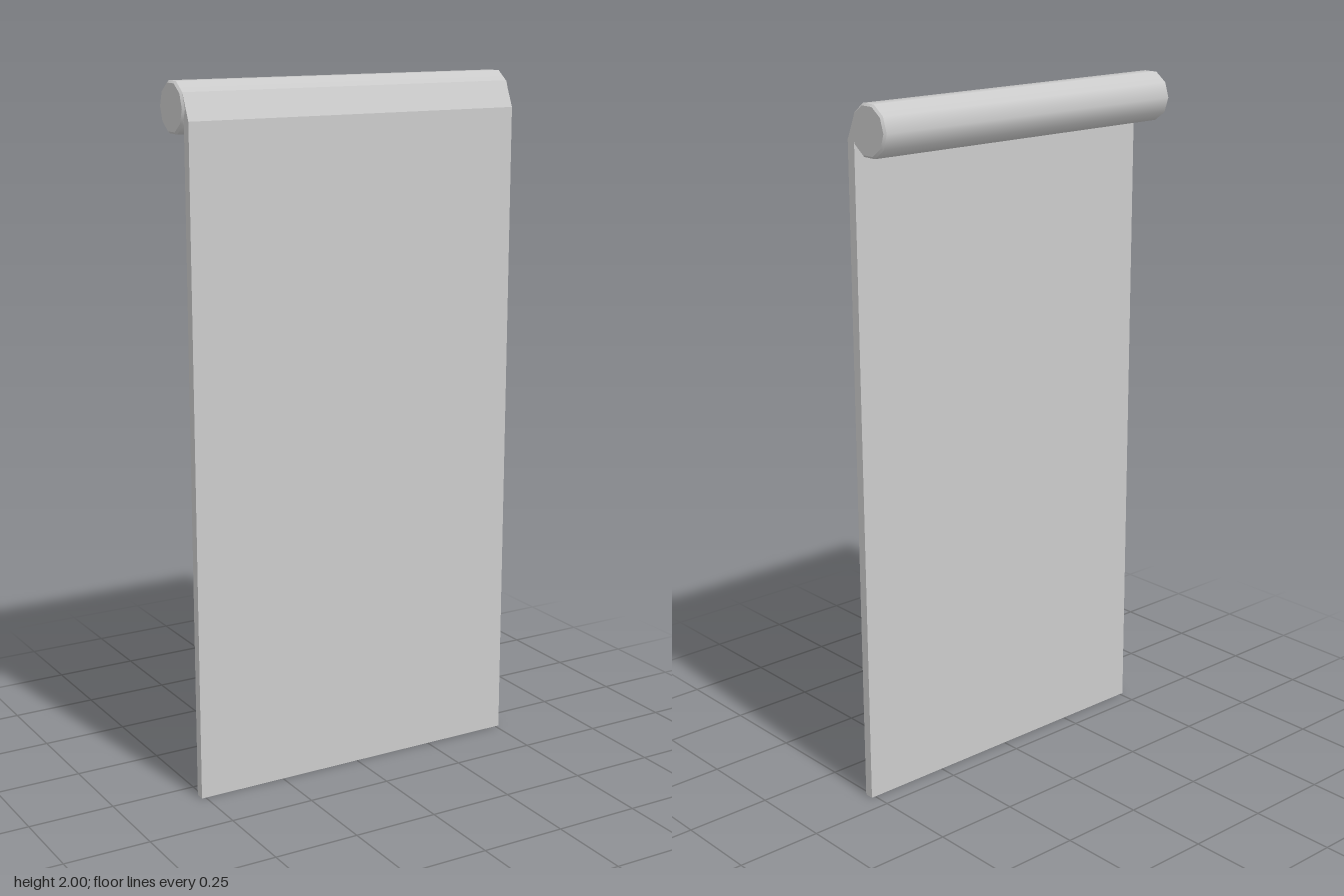
import * as THREE from 'three';

const material = new THREE.MeshStandardMaterial({ color: 0xcccccc });

const SIDES = 10;
const RADIUS = 0.0726;
const HALF_ROLLER = 0.518;
const BEVEL = 0.006;
const HALF_SHEET = 0.512;

function addMesh(parent, name, geometry) {
  const mesh = new THREE.Mesh(geometry, material);
  mesh.name = name;
  parent.add(mesh);
  return mesh;
}

export function createModel() {
  const model = new THREE.Group();
  model.name = 'rollerBlind';

  // Roller: smooth ten-sided barrel lying along x, with bevelled ends
  const roller = new THREE.Group();
  roller.name = 'roller';
  roller.position.set(0, 1.931, -0.0095);
  model.add(roller);

  const barrelLength = 2 * (HALF_ROLLER - BEVEL);
  const barrel = new THREE.CylinderGeometry(RADIUS, RADIUS, barrelLength, SIDES, 1, true);
  addMesh(roller, 'rollerBarrel', barrel.rotateZ(Math.PI / 2));

  for (const side of [1, -1]) {
    const end = new THREE.CylinderGeometry(RADIUS - BEVEL, RADIUS, BEVEL, SIDES);
    end.rotateZ(-side * Math.PI / 2);
    end.translate(side * (HALF_ROLLER - BEVEL / 2), 0, 0);
    addMesh(roller, side > 0 ? 'leftRollerEnd' : 'rightRollerEnd', end);
  }

  // Hanging sheet: side profile in (z, y), bending back onto the roller at the top
  const profile = new THREE.Shape([
    [0.055, 0], [0.082, 0], [0.082, 1.9], [0.0492, 1.9737], [0.035, 1.95], [0.055, 1.9],
  ].map(([z, y]) => new THREE.Vector2(z, y)));
  const sheet = new THREE.ExtrudeGeometry(profile, { depth: 2 * HALF_SHEET, bevelEnabled: false });
  sheet.rotateY(-Math.PI / 2).translate(HALF_SHEET, 0, 0);
  addMesh(model, 'hangingSheet', sheet);

  return model;
}
